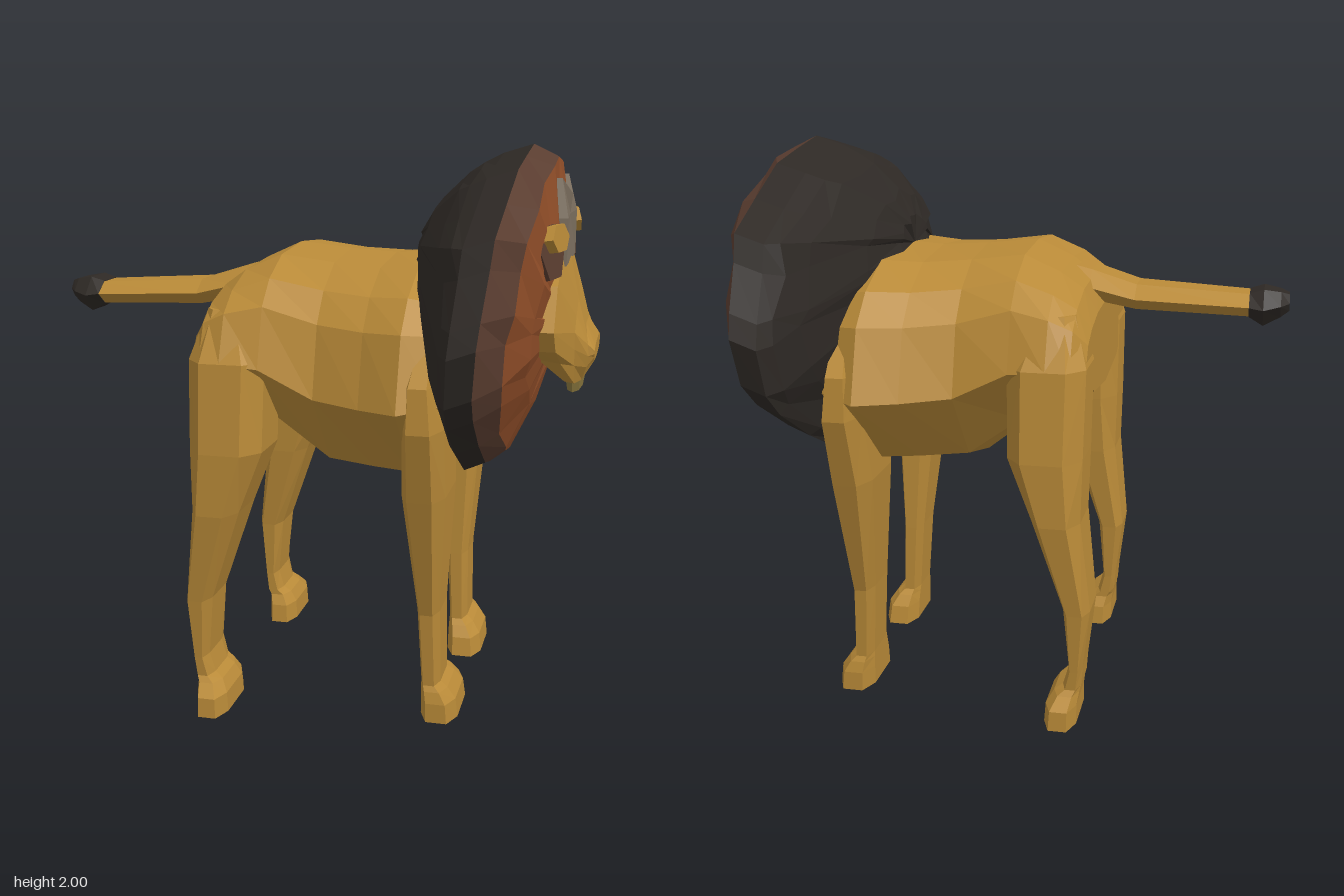
import * as THREE from 'three';

const GOLD = 0xb98a38, RUST = 0x8f4d28, BROWN = 0x5a3d30, BLACK = 0x2e2925, GREY = 0x7d7060;

const material = (color) =>
  new THREE.MeshStandardMaterial({ color, flatShading: true, side: THREE.DoubleSide });

// Skin a list of rings (equal numbers of [x, y, z] points); capped ends close on their centroid
function loft(name, color, rings, capStart = true, capEnd = true) {
  const tris = [];
  const n = rings[0].length;
  for (let i = 0; i < rings.length - 1; i++) {
    for (let j = 0; j < n; j++) {
      const k = (j + 1) % n, a = rings[i], b = rings[i + 1];
      tris.push([a[j], a[k], b[k]], [a[j], b[k], b[j]]);
    }
  }
  const cap = (ring, flip) => {
    const c = [0, 1, 2].map((d) => ring.reduce((s, p) => s + p[d], 0) / n);
    for (let j = 0; j < n; j++) {
      const k = (j + 1) % n;
      tris.push(flip ? [ring[k], ring[j], c] : [ring[j], ring[k], c]);
    }
  };
  if (capStart) cap(rings[0], true);
  if (capEnd) cap(rings[rings.length - 1], false);
  // Turn every face outward if the rings run the other way
  let volume = 0;
  for (const t of tris) {
    const [a, b, c] = t.map((p) => new THREE.Vector3(p[0] - 0.6, p[1] - 1.4, p[2]));
    volume += a.dot(b.cross(c));
  }
  if (volume < 0) tris.forEach((t) => t.reverse());
  const g = new THREE.BufferGeometry();
  g.setAttribute('position', new THREE.Float32BufferAttribute(tris.flat(2), 3));
  g.computeVertexNormals();
  const mesh = new THREE.Mesh(g, material(color));
  mesh.name = name;
  return mesh;
}

// Complete a half outline of [z, y] (top to bottom) with its mirror image
const mirror = (half) => [...half, ...half.slice(1, -1).reverse().map(([z, y]) => [-z, y])];

// Torso sections along x: [x, bottom, top, half width]
function torso() {
  const section = mirror([[0, 1], [0.46, 0.97], [0.73, 0.87], [0.89, 0.74], [1, 0.43], [0.58, 0.1], [0, 0]]);
  const stations = [
    [-0.345, 1.12, 1.43, 0.52], [-0.3, 1.08, 1.52, 0.58], [-0.22, 1.05, 1.58, 0.6], [-0.09, 0.98, 1.64, 0.58],
    [0.1, 0.83, 1.62, 0.575], [0.27, 0.82, 1.61, 0.64], [0.41, 0.82, 1.62, 0.715], [0.54, 0.88, 1.58, 0.63],
  ];
  return loft('torso', GOLD, stations.map(([x, lo, hi, w]) =>
    section.map(([z, f]) => [x, lo + f * (hi - lo), z * w])));
}

// Leg sections from the sole up: [y, back x, front x, inner z, outer z]
function leg(name, side, levels) {
  const c = 0.22;
  const corners = [[c, 0], [1 - c, 0], [1, c], [1, 1 - c], [1 - c, 1], [c, 1], [0, 1 - c], [0, c]];
  return loft(name, GOLD, levels.map(([y, x0, x1, z0, z1]) =>
    corners.map(([u, v]) => [x0 + u * (x1 - x0), y, side * (z0 + v * (z1 - z0))])));
}

const FRONT_LEG = [
  [0, 0.455, 0.588, 0.135, 0.47], [0.07, 0.455, 0.58, 0.15, 0.47], [0.11, 0.455, 0.55, 0.18, 0.46],
  [0.13, 0.455, 0.525, 0.2, 0.45], [0.4, 0.44, 0.52, 0.205, 0.47], [0.85, 0.4, 0.55, 0.22, 0.62],
  [1.1, 0.41, 0.55, 0.24, 0.7], [1.25, 0.42, 0.53, 0.3, 0.69], [1.4, 0.45, 0.52, 0.3, 0.57],
];
const HIND_LEG = [
  [0, -0.335, -0.22, 0.3, 0.63], [0.07, -0.335, -0.225, 0.31, 0.625], [0.11, -0.34, -0.25, 0.33, 0.58],
  [0.13, -0.345, -0.28, 0.33, 0.565], [0.2, -0.35, -0.3, 0.33, 0.57], [0.42, -0.375, -0.28, 0.32, 0.59],
  [0.75, -0.34, -0.17, 0.29, 0.63], [0.97, -0.345, -0.085, 0.28, 0.63], [1.28, -0.35, -0.08, 0.28, 0.6],
  [1.45, -0.3, -0.16, 0.3, 0.5],
];

// Tail sections: [x, middle y, half height, half width]
const tailRings = (list) => list.map(([x, y, h, w]) => Array.from({ length: 6 }, (_, i) => {
  const a = (i / 6) * Math.PI * 2;
  return [x, y + h * Math.sin(a) * 1.15, w * Math.cos(a)];
}));

// Mane sections from back to front, scaled from one outline:
// [height scale, width scale, x, forward lean, middle y]
const MANE = mirror([
  [0, 2], [0.22, 1.965], [0.42, 1.93], [0.65, 1.83], [0.85, 1.74], [0.885, 1.65], [0.97, 1.5], [1, 1.42],
  [0.96, 1.26], [0.86, 1.17], [0.62, 1.03], [0.35, 0.9], [0.2, 0.865], [0, 0.83],
]);
function maneRing([sy, sz, x, lean, cy], seed) {
  return MANE.map(([z, oy], j) => {
    const y = cy + sy * (oy - 1.42);
    // small roughness, the same on both sides
    const bump = sz === 1 ? 0 : 0.015 * Math.sin(Math.min(j, MANE.length - j) * 2.4 + seed * 1.7);
    return [x + lean * (y - 1.42) + bump * 0.6, y + bump * 0.7, z * sz * (1 + bump)];
  });
}
function mane() {
  const g = new THREE.Group();
  g.name = 'mane';
  const back = [[0.18, 0.18, 0.38, 0, 1.61], [0.45, 0.45, 0.43, 0, 1.54], [0.8, 0.8, 0.53, 0.01, 1.44],
    [0.92, 0.94, 0.58, 0.02, 1.41], [0.97, 1, 0.615, 0.06, 1.405], [0.97, 1, 0.7, 0.09, 1.437]].map(maneRing);
  const front = [[0.9, 0.82, 0.77, 0.13, 1.435], [0.6, 0.6, 0.825, 0.13, 1.43], [0.3, 0.3, 0.855, 0.12, 1.42]].map(maneRing);
  g.add(
    loft('maneBack', BLACK, back, true, false),
    loft('maneRim', BROWN, [back[5], front[0]], false, false),
    loft('maneFront', RUST, front, false, true),
  );
  return g;
}

function face() {
  const g = new THREE.Group();
  g.name = 'face';
  // Wide cheeks flowing into a narrower snout
  const cheeks = mirror([[0, 1.61], [0.22, 1.62], [0.36, 1.55], [0.46, 1.41], [0.42, 1.34], [0.3, 1.28], [0.2, 1.2], [0, 1.16]]);
  const bridge = mirror([[0, 1.48], [0.12, 1.48], [0.2, 1.43], [0.25, 1.38], [0.24, 1.32], [0.22, 1.26], [0.18, 1.19], [0, 1.16]]);
  const nose = mirror([[0, 1.39], [0.08, 1.39], [0.15, 1.36], [0.19, 1.33], [0.19, 1.29], [0.18, 1.25], [0.15, 1.2], [0, 1.18]]);
  g.add(loft('muzzle', GOLD, [
    cheeks.map(([z, y]) => [0.82, Math.max(y, 1.29), z]),
    cheeks.map(([z, y]) => [0.9 + (1.5 - y) * 0.04 - Math.abs(z) * 0.05, y, z]),
    bridge.map(([z, y]) => [0.935, y, z]),
    nose.map(([z, y]) => [0.98 - Math.max(0, y - 1.32) * 0.25 - Math.max(0, 1.27 - y) * 0.3, y, z]),
    nose.map(([z, y]) => [1, 1.3 + (y - 1.3) * 0.3, z * 0.95]),
  ]));
  const chin = new THREE.Mesh(new THREE.CylinderGeometry(0.19, 0.14, 0.06, 8), material(0x8d7a40));
  chin.name = 'chin';
  chin.scale.x = 0.2;
  chin.position.set(0.927, 1.18, 0);
  g.add(chin);
  // Pale forehead patch, nearly flush with the mane
  const brow = [[0.895, 1.6, 0.22], [0.895, 1.76, 0.21], [0.866, 1.89, 0.15], [0.893, 1.83, 0],
    [0.866, 1.89, -0.15], [0.895, 1.76, -0.21], [0.895, 1.6, -0.22]];
  g.add(loft('forehead', GREY, [brow.map(([x, y, z]) => [x - 0.05, y, z]), brow]));
  // Ears with a dark patch below each
  for (const side of [1, -1]) {
    const disc = (name, color, x, y, z, ry, rz, thick) => {
      const m = new THREE.Mesh(new THREE.CylinderGeometry(1, 1, thick, 6), material(color));
      m.name = name;
      m.rotation.set(0, -side * 0.2, -Math.PI / 2 + 0.14);
      m.scale.set(ry, 1, rz);
      m.position.set(x, y, side * z);
      g.add(m);
    };
    disc('ear', GOLD, 0.865, 1.71, 0.4, 0.05, 0.095, 0.05);
    disc('earPatch', BROWN, 0.85, 1.665, 0.4, 0.1, 0.13, 0.03);
  }
  return g;
}

export function createModel() {
  const model = new THREE.Group();
  model.name = 'lion';
  model.add(torso(), mane(), face());
  for (const [side, label] of [[1, 'Right'], [-1, 'Left']]) {
    model.add(leg('frontLeg' + label, side, FRONT_LEG), leg('hindLeg' + label, side, HIND_LEG));
  }
  model.add(
    loft('tail', GOLD, tailRings([[-0.2, 1.51, 0.06, 0.16], [-0.3, 1.49, 0.055, 0.15], [-0.46, 1.45, 0.045, 0.14], [-0.9, 1.43, 0.04, 0.115]])),
    loft('tailTip', BLACK, tailRings([[-0.86, 1.432, 0.043, 0.119], [-0.91, 1.425, 0.065, 0.127], [-0.97, 1.435, 0.045, 0.09], [-1, 1.44, 0.03, 0.05]])),
  );
  return model;
}
